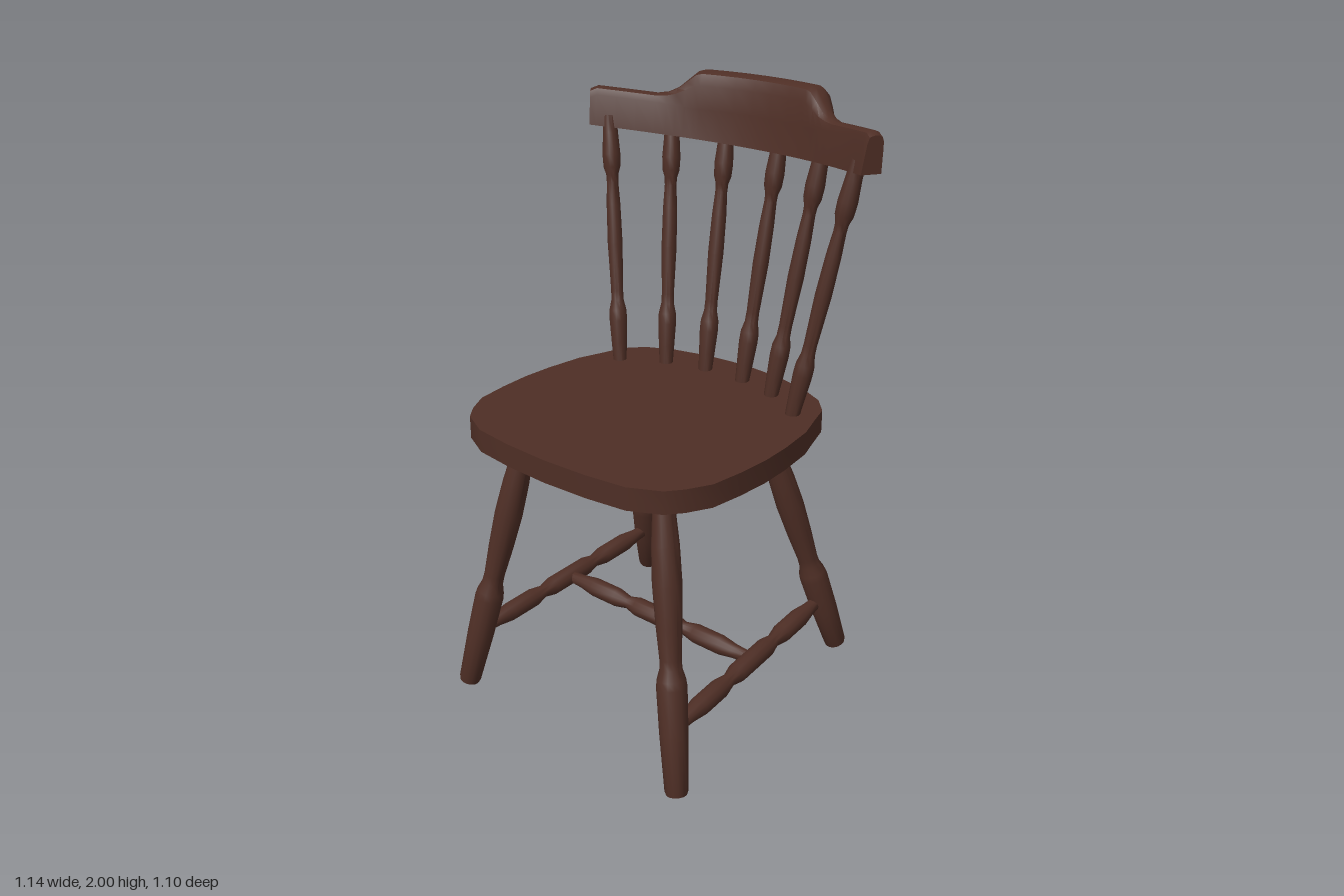
import * as THREE from 'three';
import { toCreasedNormals } from 'three/addons/utils/BufferGeometryUtils.js';

const wood = new THREE.MeshStandardMaterial({ color: 0x4e2e25 });
wood.name = 'dark brown wood';

function part(name, geometry, crease = 0.7) {
  const mesh = new THREE.Mesh(toCreasedNormals(geometry, crease), wood);
  mesh.name = name;
  return mesh;
}

// Turned piece from point a to point b; profile rows are [fraction along, radius]
function turned(name, a, b, profile, sides = 14) {
  const start = new THREE.Vector3(...a);
  const axis = new THREE.Vector3(...b).sub(start);
  const length = axis.length();
  const points = profile.map(([t, r]) => new THREE.Vector2(r, t * length));
  points.unshift(new THREE.Vector2(0, 0));
  points.push(new THREE.Vector2(0, length));
  const mesh = part(name, new THREE.LatheGeometry(points, sides));
  mesh.position.copy(start);
  mesh.quaternion.setFromUnitVectors(new THREE.Vector3(0, 1, 0), axis.normalize());
  return mesh;
}

// Flat seat with a rounded-square outline
function makeSeat() {
  const half = [[0, 0.55], [0.16, 0.543], [0.3, 0.525], [0.4, 0.475], [0.44, 0.425], [0.48, 0.35],
    [0.495, 0.24], [0.502, 0.13], [0.497, 0.02], [0.48, -0.11], [0.45, -0.2], [0.425, -0.28],
    [0.37, -0.34], [0.28, -0.385], [0.15, -0.417], [0, -0.43]];
  const outline = [...half, ...half.slice(1, -1).reverse().map(([x, z]) => [-x, z])];
  const shape = new THREE.Shape(outline.map(([x, z]) => new THREE.Vector2(x, -z)));
  const geometry = new THREE.ExtrudeGeometry(shape, { depth: 0.075, bevelEnabled: false });
  geometry.rotateX(-Math.PI / 2).translate(0, 0.95, 0);
  return part('seat', geometry);
}

// Bowed crest rail: the section morphs from a plain bar to a backward roll
function makeCrest() {
  // section points as [distance back, height]
  const plain = [[0, 1.78], [0.015, 1.88], [0.022, 1.9], [0.035, 1.905], [0.05, 1.905],
    [0.062, 1.9], [0.066, 1.89], [0.067, 1.88], [0.067, 1.86], [0.065, 1.78]];
  const rolled = [[0, 1.78], [0.018, 1.88], [0.024, 1.955], [0.04, 1.99], [0.065, 2.0],
    [0.1, 1.995], [0.125, 1.97], [0.128, 1.935], [0.11, 1.905], [0.062, 1.885]];
  rolled.splice(9, 1, [0.075, 1.895]);
  rolled.push([0.06, 1.78]);
  plain.splice(9, 0, [0.066, 1.83]);
  // stations as [x, amount of roll]
  const half = [[0, 1], [0.07, 1], [0.14, 1], [0.195, 1], [0.215, 0.93], [0.245, 0.62],
    [0.275, 0.3], [0.305, 0.1], [0.34, 0], [0.4, 0], [0.46, 0], [0.515, 0], [0.535, 0]];
  const stations = [...half.slice(1).reverse().map(([x, k]) => [-x, k]), ...half];
  const n = plain.length, vertices = [], index = [];
  stations.forEach(([x, k]) => {
    const slope = 1.2 * x, norm = Math.hypot(1, slope);
    const rise = 0.03 * (x / 0.535) ** 2;
    const drop = Math.abs(x) > 0.52 ? 0.012 : 0;
    plain.forEach(([d, y], j) => {
      const depth = d + (rolled[j][0] - d) * k;
      const height = y + (rolled[j][1] - y) * k;
      const high = j > 0 && j < n - 1;
      vertices.push(x + depth * slope / norm, height + rise * (1 - k) + rise * k * (high ? 0 : 1) - (high ? drop : 0),
        -0.42 + 0.6 * x * x - depth / norm);
    });
  });
  for (let i = 0; i < stations.length - 1; i++) {
    for (let j = 0; j < n; j++) {
      const a = i * n + j, b = i * n + (j + 1) % n;
      index.push(a, a + n, b, b, a + n, b + n);
    }
  }
  // end caps
  const last = (stations.length - 1) * n;
  for (let j = 1; j < n - 1; j++) {
    index.push(0, j, j + 1, last, last + j + 1, last + j);
  }
  const geometry = new THREE.BufferGeometry();
  geometry.setAttribute('position', new THREE.Float32BufferAttribute(vertices, 3));
  geometry.setIndex(index);
  return part('crestRail', geometry, 0.6);
}

export function createModel() {
  const group = new THREE.Group();
  group.name = 'spindleBackChair';
  group.add(makeSeat(), makeCrest());

  const legProfile = [[0, 0.034], [0.01, 0.037], [0.2, 0.045], [0.35, 0.048], [0.375, 0.045], [0.41, 0.035],
    [0.44, 0.034], [0.55, 0.041], [0.68, 0.046], [0.8, 0.043], [0.92, 0.034], [1, 0.029]];
  const rearLegProfile = legProfile.map(([t, r]) => [t < 0.05 ? t : t * 0.97 - 0.03 * (1 - t), r]);
  const spindleProfile = [[0, 0.022], [0.1, 0.027], [0.19, 0.031], [0.23, 0.03], [0.27, 0.022], [0.31, 0.021],
    [0.5, 0.026], [0.65, 0.024], [0.74, 0.02], [0.77, 0.021], [0.8, 0.029], [0.85, 0.031], [0.93, 0.026], [1, 0.023]];
  const stretcherProfile = [[0, 0.02], [0.08, 0.024], [0.15, 0.033], [0.28, 0.033], [0.345, 0.022], [0.4, 0.033],
    [0.6, 0.033], [0.655, 0.022], [0.72, 0.033], [0.85, 0.033], [0.92, 0.024], [1, 0.02]];

  // outer, middle and inner spindles: [bottom x, bottom z, top x, top z]
  const spindles = [[0.363, -0.195, 0.492, -0.302], [0.222, -0.275, 0.302, -0.402], [0.078, -0.31, 0.108, -0.45]];

  for (const s of [1, -1]) {
    const side = s > 0 ? 'left' : 'right';
    group.add(turned(side + 'FrontLeg', [s * 0.467, 0.01, 0.492], [s * 0.28, 0.97, 0.337], legProfile));
    group.add(turned(side + 'RearLeg', [s * 0.435, 0.087, -0.424], [s * 0.27, 0.97, -0.178], rearLegProfile));
    group.add(turned(side + 'Stretcher', [s * 0.428, 0.215, 0.45], [s * 0.395, 0.268, -0.36], stretcherProfile, 12));
    spindles.forEach(([x0, z0, x1, z1], i) => {
      group.add(turned(side + 'Spindle' + (i + 1), [s * x0, 1.0, z0], [s * x1, 1.84, z1], spindleProfile, 12));
    });
  }
  group.add(turned('crossStretcher', [-0.405, 0.242, 0.04], [0.405, 0.242, 0.04], stretcherProfile, 12));
  return group;
}
